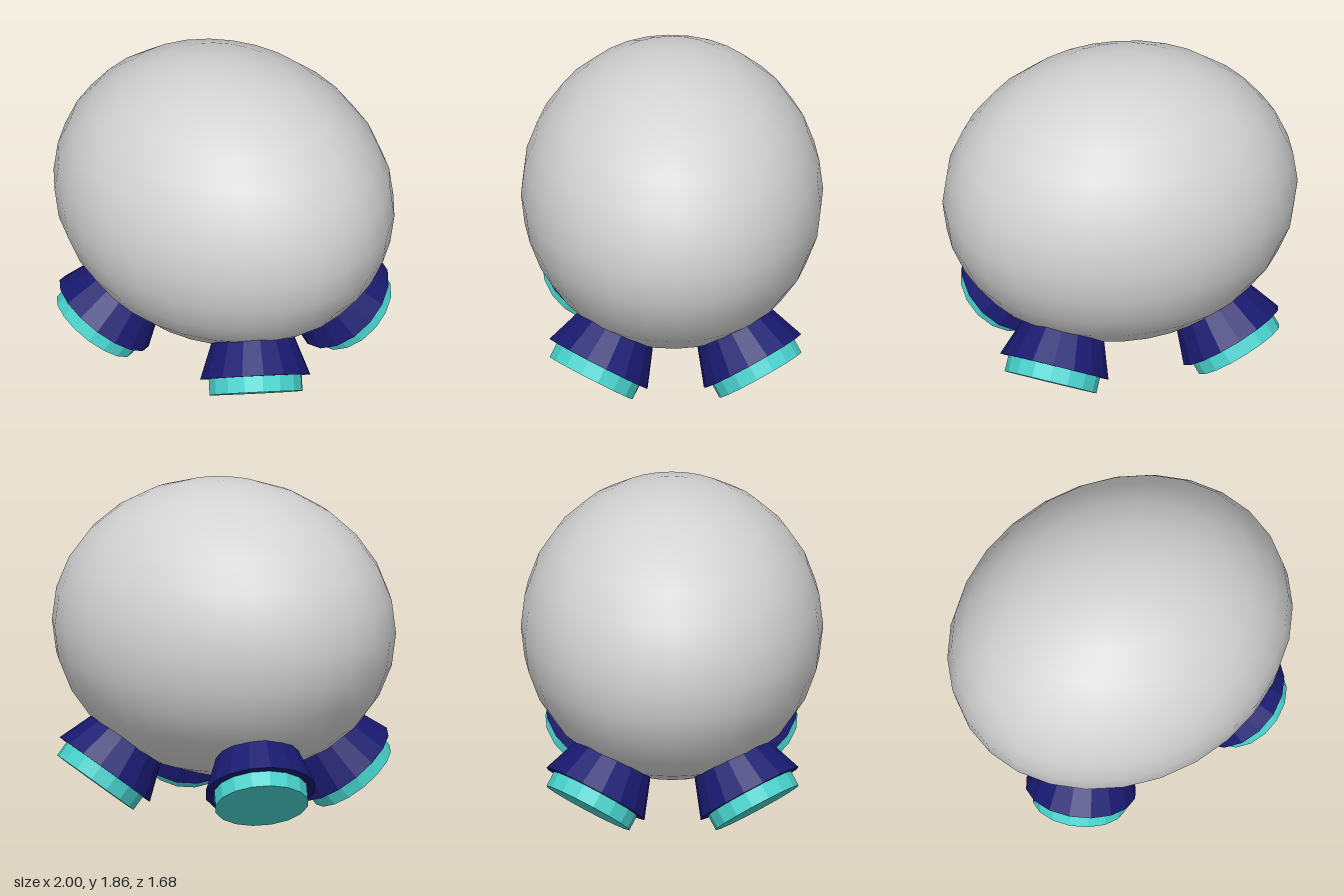
import * as THREE from 'three';

const paint = (name, color) => {
  const m = new THREE.MeshStandardMaterial({ color });
  m.name = name;
  return m;
};

const flat = (geometry) => {
  const g = geometry.toNonIndexed();
  g.computeVertexNormals();
  return g;
};

export function createModel() {
  const model = new THREE.Group();
  model.name = 'roundPod';
  const shell = paint('lightGrey', 0xd3d3d3);
  const navy = paint('midnightBlue', 0x191970);
  const teal = paint('turquoise', 0x48d1cc);

  // Smooth ellipsoid body
  const body = new THREE.Mesh(new THREE.SphereGeometry(1, 28, 14), shell);
  body.name = 'body';
  body.scale.set(1, 0.83, 0.84);
  body.position.y = 1.03;
  model.add(body);

  // Foot parts hang down local -y: flared collar above, pad below
  const collarHeight = 0.3, padHeight = 0.12, padDrop = 0.09;
  const collarGeo = flat(new THREE.CylinderGeometry(0.2, 0.31, collarHeight, 16));
  collarGeo.translate(0, collarHeight / 2, 0);
  const padGeo = flat(new THREE.CylinderGeometry(0.262, 0.262, padHeight, 16));
  padGeo.translate(0, padHeight / 2 - padDrop, 0);

  // Four feet splayed outward along the body's surface normal
  const down = new THREE.Vector3(0, -1, 0);
  for (const sx of [1, -1]) {
    for (const sz of [1, -1]) {
      const foot = new THREE.Group();
      foot.name = (sz > 0 ? 'front' : 'back') + (sx > 0 ? 'Left' : 'Right') + 'Foot';
      const collar = new THREE.Mesh(collarGeo, navy);
      collar.name = 'collar';
      const pad = new THREE.Mesh(padGeo, teal);
      pad.name = 'pad';
      foot.add(collar, pad);
      const axis = new THREE.Vector3(0.39 * sx, -0.79, 0.47 * sz).normalize();
      foot.quaternion.setFromUnitVectors(down, axis);
      foot.position.set(0.513 * sx, 0.233, 0.428 * sz);
      model.add(foot);
    }
  }
  return model;
}
